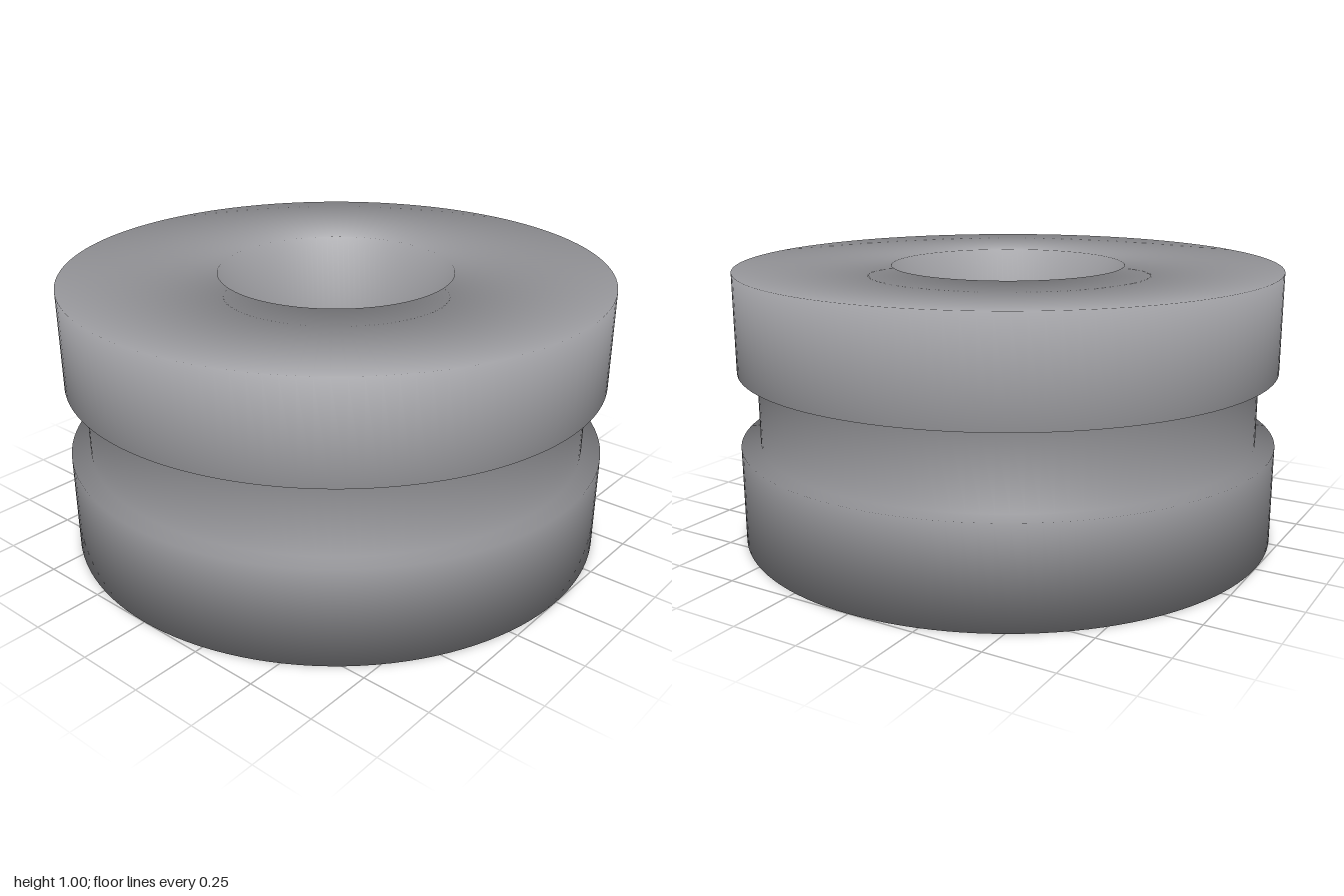
import * as THREE from 'three';

export function createModel() {
  const group = new THREE.Group();
  group.name = 'groovedRing';

  const grey = new THREE.MeshStandardMaterial({ color: 0x9c9ca0 });
  grey.name = 'neutral grey';

  const bore = 0.43, rim = 1, groove = 0.93;
  const grooveBottom = 0.36, grooveTop = 0.64, height = 1;

  // Closed cross-section, starting and ending halfway up the bore;
  // the lathe blends normals softly across its corners
  const profile = [
    [bore, height / 2], [bore, 0],
    [rim, 0], [rim, grooveBottom],
    [groove, grooveBottom], [groove, grooveTop],
    [rim, grooveTop], [rim, height],
    [bore, height], [bore, height / 2],
  ].map(([r, y]) => new THREE.Vector2(r, y));

  const ring = new THREE.Mesh(new THREE.LatheGeometry(profile, 128), grey);
  ring.name = 'ringBody';
  group.add(ring);
  return group;
}
